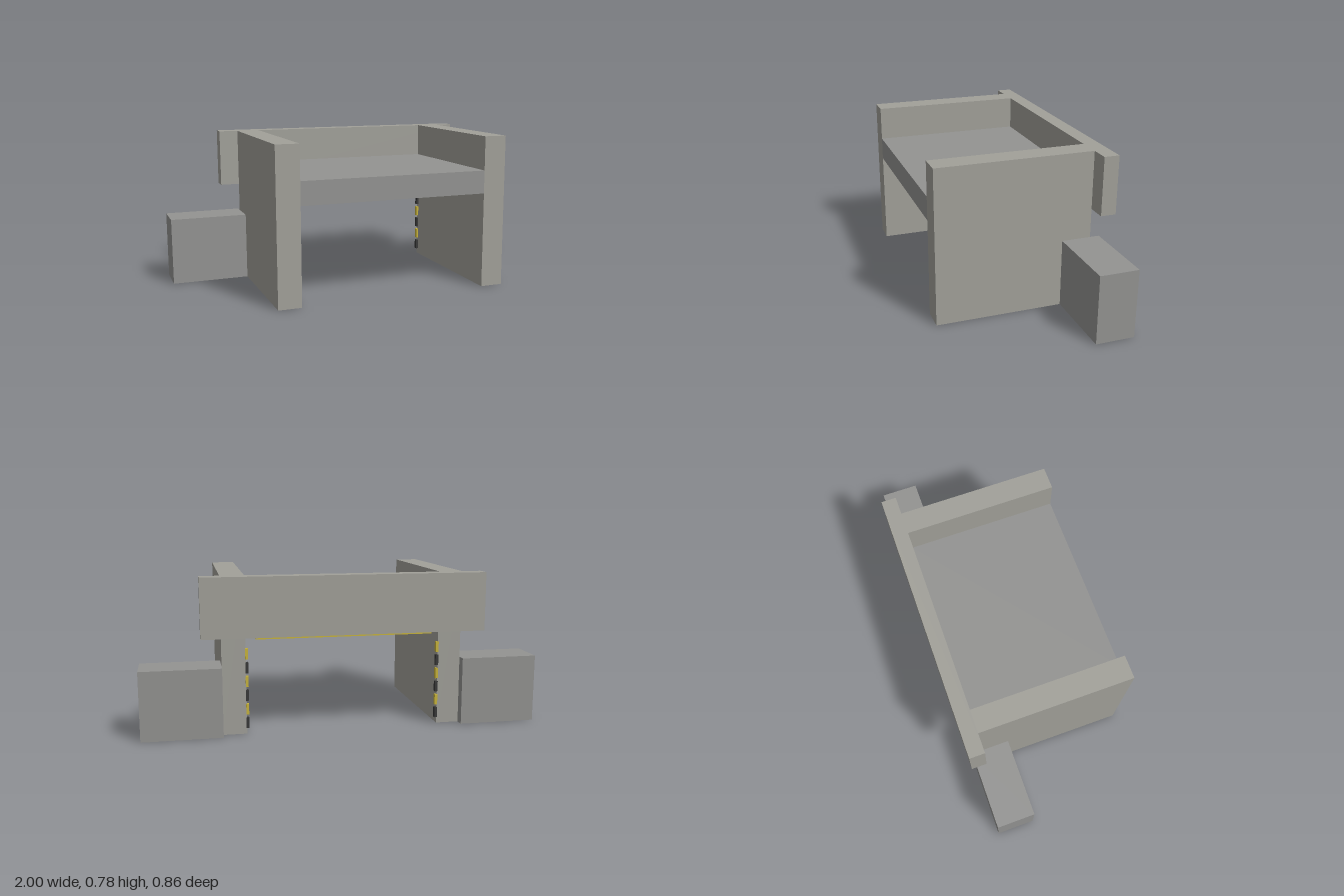
import * as THREE from 'three';

const concrete = new THREE.MeshStandardMaterial({ color: 0xa1a099 });
const darkConcrete = new THREE.MeshStandardMaterial({ color: 0x939391 });
const yellow = new THREE.MeshStandardMaterial({ color: 0xc8b43c });
const black = new THREE.MeshStandardMaterial({ color: 0x383838 });

// Box given by its extents along each axis
function block(name, [x0, x1], [y0, y1], [z0, z1], material) {
  const mesh = new THREE.Mesh(new THREE.BoxGeometry(x1 - x0, y1 - y0, z1 - z0), material);
  mesh.position.set((x0 + x1) / 2, (y0 + y1) / 2, (z0 + z1) / 2);
  mesh.name = name;
  return mesh;
}

export function createModel() {
  const model = new THREE.Group();
  model.name = 'loadingDock';

  const wallX = [0.488, 0.606];
  const top = 0.784, front = 0.432, wallBack = -0.353;

  // Recessed roof between the walls, and the wide lintel across the back
  model.add(block('roofSlab', [-wallX[0], wallX[0]], [0.492, 0.61], [wallBack, front], darkConcrete));
  model.add(block('backLintel', [-0.704, 0.704], [0.491, top], [-0.43, wallBack], concrete));

  // Light strip under the lintel
  model.add(block('lightStrip', [-0.442, 0.442], [0.476, 0.491], [-0.382, -0.352], yellow));

  for (const side of [1, -1]) {
    const label = side > 0 ? 'left' : 'right';
    const span = (a, b) => (side > 0 ? [a, b] : [-b, -a]);

    model.add(block(label + 'Wall', span(...wallX), [0, top], [wallBack, front], concrete));
    model.add(block(label + 'SideBlock', span(wallX[1], 1), [0, 0.344], [-0.4, -0.205], darkConcrete));

    // Alternating hazard marks up the inner corner of the opening
    const marks = new THREE.Group();
    marks.name = label + 'HazardMarks';
    for (let i = 0; i < 6; i++) {
      const y = 0.03 + i * 0.069;
      marks.add(block('hazardMark', span(0.477, 0.491), [y, y + 0.053], [-0.357, -0.336], i % 2 ? yellow : black));
    }
    model.add(marks);
  }
  return model;
}
